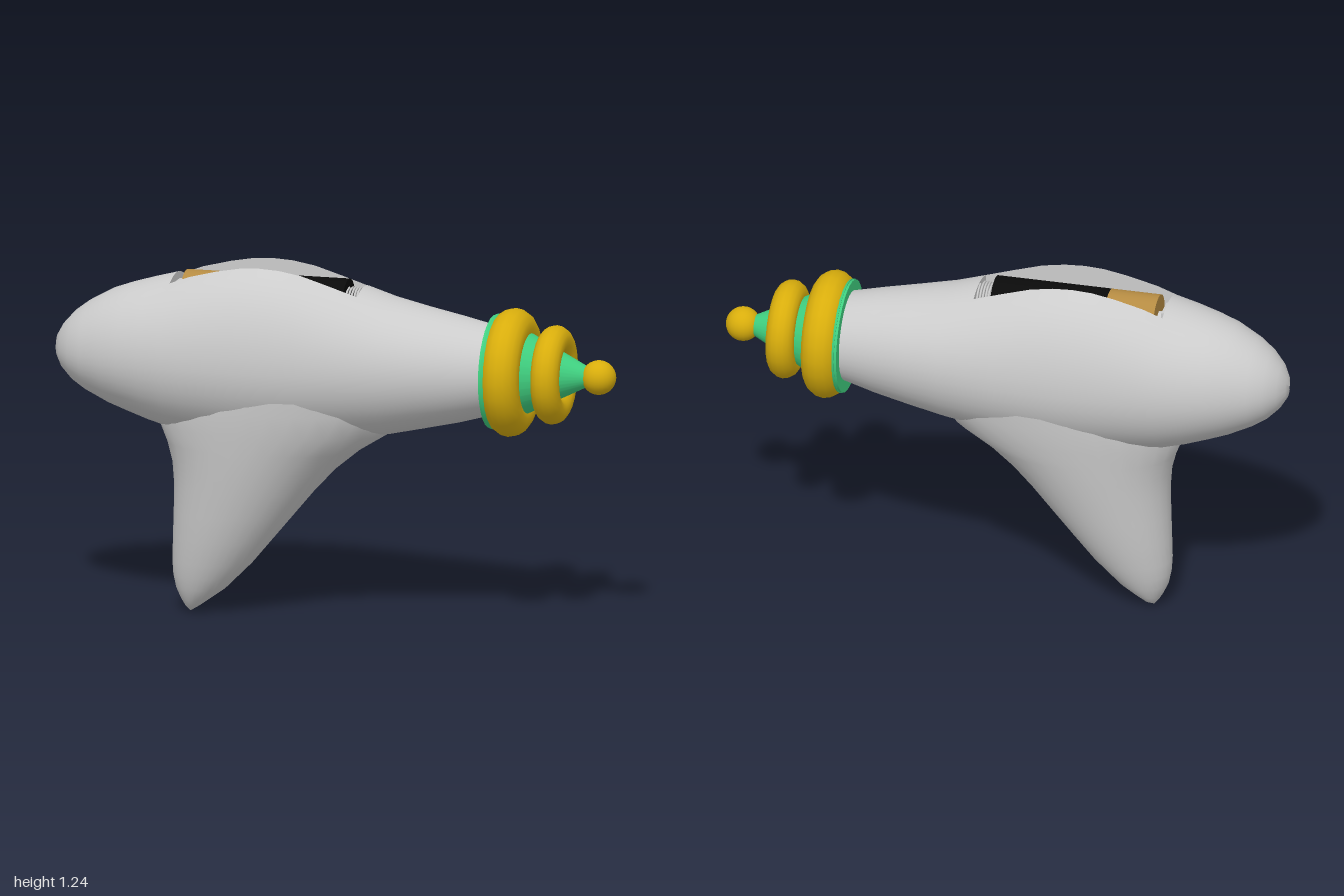
import * as THREE from 'three';
import { mergeGeometries, toCreasedNormals } from 'three/addons/utils/BufferGeometryUtils.js';

const AXIS_Y = 0.905;
const SLOT = { x0: -0.57, x1: 0.1, half: 0.09, floor: 1.03 };

const material = (color = 0xcccccc, side = THREE.FrontSide) =>
  new THREE.MeshStandardMaterial({ color, side });

// Skin a list of equally long rows of points
function loft(rows) {
  const n = rows[0].length;
  const index = [];
  for (let i = 0; i < rows.length - 1; i++) {
    for (let j = 0; j < n - 1; j++) {
      const a = i * n + j, b = a + n;
      index.push(a, a + 1, b, a + 1, b + 1, b);
    }
  }
  const geometry = new THREE.BufferGeometry();
  geometry.setAttribute('position', new THREE.Float32BufferAttribute(rows.flat(2), 3));
  geometry.setIndex(index);
  return geometry;
}

// Body stations: x, top, bottom, half width
const STATIONS = [
  [-1, 0.912, 0.9, 0.005], [-0.993, 0.95, 0.868, 0.035], [-0.97, 0.99, 0.83, 0.08],
  [-0.93, 1.035, 0.79, 0.12], [-0.88, 1.073, 0.758, 0.152], [-0.8, 1.118, 0.72, 0.188],
  [-0.73, 1.143, 0.695, 0.212], [-0.65, 1.167, 0.667, 0.23], [-0.57, 1.188, 0.645, 0.243],
  [-0.5, 1.215, 0.635, 0.25], [-0.4, 1.241, 0.625, 0.256], [-0.32, 1.256, 0.62, 0.259],
  [-0.25, 1.26, 0.62, 0.26], [-0.18, 1.256, 0.622, 0.258], [-0.1, 1.242, 0.628, 0.254],
  [0, 1.21, 0.64, 0.25], [0.1, 1.177, 0.652, 0.24], [0.2, 1.145, 0.667, 0.228],
  [0.32, 1.117, 0.693, 0.21], [0.45, 1.09, 0.722, 0.184], [0.57, 1.063, 0.755, 0.155],
];

function arc([x, top, bottom, w], from, to, steps) {
  return Array.from({ length: steps + 1 }, (_, i) => {
    const a = from + (to - from) * i / steps;
    const c = Math.cos(a);
    const h = c > 0 ? top - AXIS_Y : AXIS_Y - bottom;
    return [x, AXIS_Y + h * c, w * Math.sin(a)];
  });
}

// Angle at which a station meets the slot's long edge
const edgeAngle = s => Math.asin(Math.min(SLOT.half / s[3], 0.55));
const topArc = s => arc(s, -edgeAngle(s), edgeAngle(s), 8);

function slotProfile(s) {
  const p = topArc(s), first = p[0], last = p[p.length - 1];
  return [first, [s[0], SLOT.floor, first[2]], [s[0], SLOT.floor, last[2]], last];
}

function bodyGeometry() {
  const inSlot = STATIONS.filter(s => s[0] >= SLOT.x0 && s[0] <= SLOT.x1);
  const parts = [
    loft(STATIONS.map(s => arc(s, edgeAngle(s), 2 * Math.PI - edgeAngle(s), 36))),
    loft(STATIONS.filter(s => s[0] <= SLOT.x0).map(topArc)),
    loft(STATIONS.filter(s => s[0] >= SLOT.x1).map(topArc)),
    loft(inSlot.map(slotProfile)),
  ];
  return toCreasedNormals(mergeGeometries(parts), 0.9);
}

// Grip sections: y, rear x, front x, half width
const GRIP = [
  [0.85, -0.6, 0.28, 0.24], [0.75, -0.63, 0.26, 0.235], [0.665, -0.625, 0.19, 0.222],
  [0.6, -0.598, 0.085, 0.21], [0.53, -0.58, 0, 0.197], [0.45, -0.574, -0.075, 0.18],
  [0.36, -0.576, -0.15, 0.161], [0.27, -0.579, -0.225, 0.14], [0.18, -0.582, -0.3, 0.115],
  [0.13, -0.579, -0.35, 0.098], [0.085, -0.57, -0.395, 0.08], [0.045, -0.552, -0.45, 0.058],
  [0.02, -0.537, -0.485, 0.038], [0, -0.521, -0.518, 0.004],
];

function gripGeometry() {
  const rows = GRIP.map(([y, x0, x1, w]) => Array.from({ length: 33 }, (_, i) => {
    const a = i / 32 * Math.PI * 2;
    return [(x0 + x1) / 2 + (x1 - x0) / 2 * Math.cos(a), y, w * Math.sin(a)];
  }));
  return toCreasedNormals(loft(rows), 1.2);
}

// Cylinder or cone lying along x
function barrel(x0, x1, r0, r1, y, segments = 32) {
  return new THREE.CylinderGeometry(r1, r0, x1 - x0, segments)
    .rotateZ(-Math.PI / 2).translate((x0 + x1) / 2, y, 0);
}

export function createModel() {
  const model = new THREE.Group();
  const add = (parent, name, geometry, mat) => {
    const mesh = new THREE.Mesh(geometry, mat);
    mesh.name = name;
    parent.add(mesh);
    return mesh;
  };
  const grey = material();
  const gold = material(0xd9ae0c);
  const green = material(0x40d080);

  // Shell and handle
  add(model, 'body', bodyGeometry(), grey);
  add(model, 'grip', gripGeometry(), grey);

  // End walls of the battery slot
  for (const x of [SLOT.x0, SLOT.x1]) {
    const top = topArc(STATIONS.find(s => s[0] === x));
    const wall = loft([top, top.map(p => [x, SLOT.floor, p[2]])]);
    wall.computeVertexNormals();
    add(model, 'slotEndWall', wall, material(0xcccccc, THREE.DoubleSide));
  }

  // Battery with its contacts
  const battery = new THREE.Group();
  battery.name = 'battery';
  model.add(battery);
  const by = 1.115;
  add(battery, 'batteryTip', barrel(-0.552, -0.53, 0.028, 0.028, by, 20), grey);
  add(battery, 'contactPlate', new THREE.BoxGeometry(0.016, 0.09, 0.08).translate(-0.561, by, 0), grey);
  add(battery, 'batteryTopBand', barrel(-0.535, -0.36, 0.085, 0.085, by), material(0xb58b42));
  add(battery, 'batteryCase', barrel(-0.36, 0.045, 0.085, 0.085, by), material(0x0a0a0a));

  // Contact spring
  const coil = Array.from({ length: 61 }, (_, i) => {
    const a = i / 60 * Math.PI * 10;
    return new THREE.Vector3(0.048 + 0.05 * i / 60, by + 0.055 * Math.cos(a), 0.065 * Math.sin(a));
  });
  add(battery, 'spring', new THREE.TubeGeometry(new THREE.CatmullRomCurve3(coil), 120, 0.004, 6), grey);

  // Emitter: green collar and cone, gold rings and ball
  const emitter = new THREE.Group();
  emitter.name = 'emitter';
  model.add(emitter);
  add(emitter, 'collar', barrel(0.562, 0.576, 0.197, 0.197, AXIS_Y), green);
  add(emitter, 'cone', barrel(0.57, 0.9, 0.2, 0.035, AXIS_Y), green);
  for (const [x, outer, tube] of [[0.63, 0.223, 0.066], [0.78, 0.172, 0.05]]) {
    add(emitter, 'ring', new THREE.TorusGeometry(outer - tube, tube, 16, 24)
      .rotateY(Math.PI / 2).translate(x, AXIS_Y, 0), gold);
  }
  add(emitter, 'tipBall', new THREE.SphereGeometry(0.06, 24, 16).translate(0.94, AXIS_Y, 0), gold);

  return model;
}
